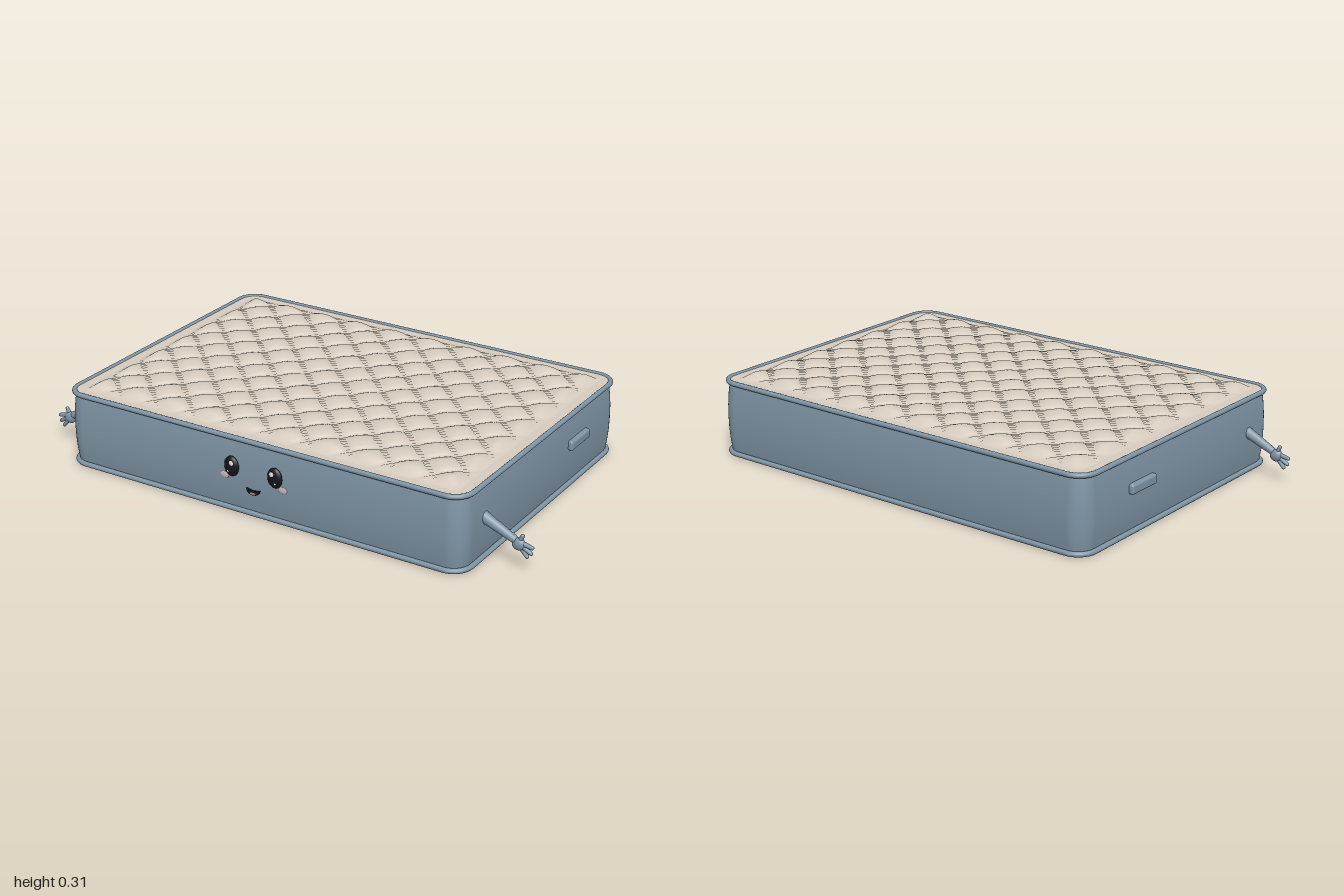
import * as THREE from 'three';
import { RoundedBoxGeometry } from 'three/addons/geometries/RoundedBoxGeometry.js';

const mat = (name, color, side = THREE.FrontSide) => {
  const m = new THREE.MeshStandardMaterial({ color, side });
  m.name = name;
  return m;
};

// Rounded rectangle in the xz plane: points with their outward directions
function perimeter(hx, hz, r, steps = 8) {
  const pts = [];
  [[1, 1], [-1, 1], [-1, -1], [1, -1]].forEach(([sx, sz], q) => {
    for (let i = 0; i <= steps; i++) {
      const a = (q + i / steps) * Math.PI / 2, c = Math.cos(a), s = Math.sin(a);
      pts.push({ x: sx * (hx - r) + c * r, z: sz * (hz - r) + s * r, nx: c, nz: s });
    }
  });
  return pts;
}

function indexed(pos, idx) {
  const g = new THREE.BufferGeometry();
  g.setAttribute('position', new THREE.Float32BufferAttribute(pos, 3));
  g.setIndex(idx);
  g.computeVertexNormals();
  return g;
}

// Skin over rounded-rectangle rings given as [y, outset]
function loft(hx, hz, r, rings) {
  const pos = [], idx = [];
  let n = 0;
  rings.forEach(([y, o], k) => {
    const pts = perimeter(hx + o, hz + o, r + o);
    n = pts.length;
    pts.forEach((p) => pos.push(p.x, y, p.z));
    if (k === 0) return;
    for (let i = 0; i < n; i++) {
      const a = (k - 1) * n + i, b = (k - 1) * n + (i + 1) % n;
      idx.push(a, a + n, b, b, a + n, b + n);
    }
  });
  return indexed(pos, idx);
}

// Flat underside whose normals lean softly outward at the rim
function undersideGeometry(hx, hz, r, y) {
  const pos = [0, y, 0], nor = [0, -1, 0], idx = [];
  const pts = perimeter(hx, hz, r), n = pts.length, k = Math.SQRT1_2;
  pts.forEach((p, i) => {
    pos.push(p.x, y, p.z);
    nor.push(p.nx * k, -k, p.nz * k);
    idx.push(0, i + 1, (i + 1) % n + 1);
  });
  const g = indexed(pos, idx);
  g.setAttribute('normal', new THREE.Float32BufferAttribute(nor, 3));
  return g;
}

// Puffed diamonds between diagonal stitch lines, fading out at the border
function quiltGeometry() {
  const L = 0.163, cell = L / 12, nx = 114, nz = 80;
  const w = nx * cell, d = nz * cell;
  const g = new THREE.PlaneGeometry(w, d, nx, nz).rotateX(-Math.PI / 2);
  const p = g.attributes.position;
  for (let i = 0; i < p.count; i++) {
    const x = p.getX(i), z = p.getZ(i);
    const edge = Math.min(w / 2 - Math.abs(x), d / 2 - Math.abs(z));
    const fade = THREE.MathUtils.smoothstep(edge, 0, 0.05);
    const bump = Math.abs(Math.sin(Math.PI * (x + z) / L) * Math.sin(Math.PI * (x - z) / L));
    p.setY(i, 0.287 + fade * (0.005 + 0.019 * Math.sqrt(bump)));
  }
  g.computeVertexNormals();
  return g;
}

export function createModel() {
  const model = new THREE.Group();
  const blue = mat('blue grey fabric', 0x7f95a6);
  const cream = mat('cream quilt', 0xd6cdbf);
  const black = mat('black', 0x14161a);
  const white = mat('white', 0xf4f4f4);
  const blush = mat('blush', 0xc9b9ba);
  const tongueRed = mat('tongue pink', 0xb87f80);

  const add = (parent, name, geo, material, x = 0, y = 0, z = 0) => {
    const m = new THREE.Mesh(geo, material);
    m.name = name;
    m.position.set(x, y, z);
    parent.add(m);
    return m;
  };
  const ball = (parent, name, material, x, y, z, rx, ry, rz) =>
    add(parent, name, new THREE.SphereGeometry(1, 24, 16), material, x, y, z).scale.set(rx, ry, rz);

  // Mattress
  const mattress = new THREE.Group();
  mattress.name = 'mattress';
  mattress.position.set(-0.005, 0, -0.005);
  model.add(mattress);
  const HX = 0.823, HZ = 0.588, R = 0.07;
  add(mattress, 'sideWall', loft(HX, HZ, R, [
    [0.006, -0.012], [0.03, -0.008], [0.06, -0.004], [0.1, -0.001], [0.145, 0],
    [0.19, -0.001], [0.23, -0.004], [0.26, -0.008], [0.286, -0.012],
  ]), blue);
  add(mattress, 'underside', undersideGeometry(HX - 0.01, HZ - 0.01, R - 0.01, 0.006), blue);

  // Piping around the top and bottom edges
  const pipe = 0.0095;
  for (const [name, y] of [['bottomPiping', pipe], ['topPiping', 0.283]]) {
    const rings = [];
    for (let i = 0; i <= 12; i++) {
      const t = -Math.PI + i * Math.PI / 6;
      rings.push([y + pipe * Math.sin(t), pipe * Math.cos(t)]);
    }
    add(mattress, name, loft(HX - 0.004, HZ - 0.004, R, rings), blue);
  }

  // Quilted top
  const outline = perimeter(HX - 0.008, HZ - 0.008, R - 0.008).map((p) => new THREE.Vector2(p.x, p.z));
  add(mattress, 'topBorder', new THREE.ShapeGeometry(new THREE.Shape(outline)).rotateX(-Math.PI / 2), cream, 0, 0.2865, 0);
  add(mattress, 'quiltedTop', quiltGeometry(), cream);

  // Side handles
  for (const s of [1, -1])
    add(mattress, s > 0 ? 'leftHandle' : 'rightHandle',
      new RoundedBoxGeometry(0.034, 0.037, 0.145, 3, 0.009), blue, s * 0.823, 0.169, -0.257);

  // Face
  const face = new THREE.Group();
  face.name = 'face';
  face.position.set(0, 0, HZ);
  mattress.add(face);
  for (const s of [1, -1]) {
    ball(face, 'eye', black, s * 0.09, 0.174, 0, 0.03, 0.038, 0.015);
    ball(face, 'eyeHighlight', white, s * 0.09 - s * 0.006, 0.19, 0.0125, 0.009, 0.01, 0.003);
    ball(face, 'eyeGlint', white, s * 0.09 + s * 0.008, 0.157, 0.0125, 0.004, 0.004, 0.002);
    ball(face, 'cheek', blush, s * 0.121, 0.134, 0, 0.018, 0.012, 0.003);
  }
  const mouth = new THREE.Shape();
  mouth.moveTo(-0.028, 0.108);
  mouth.quadraticCurveTo(0, 0.098, 0.028, 0.108);
  mouth.bezierCurveTo(0.026, 0.078, -0.026, 0.078, -0.028, 0.108);
  add(face, 'mouth', new THREE.ExtrudeGeometry(mouth, { depth: 0.008, bevelEnabled: false, curveSegments: 12 }), black, 0, 0, -0.002);
  ball(face, 'tongue', tongueRed, 0, 0.092, 0.006, 0.012, 0.005, 0.002);

  // Arms with little hands
  for (const s of [1, -1]) {
    const arm = new THREE.Group();
    arm.name = s > 0 ? 'leftArm' : 'rightArm';
    arm.position.z = 0.428;
    model.add(arm);
    const limb = (name, x0, y0, r0, x1, y1, r1, z0 = 0, z1 = 0) => {
      const a = new THREE.Vector3(s * x0, y0, z0), b = new THREE.Vector3(s * x1, y1, z1);
      const dir = b.clone().sub(a);
      const m = add(arm, name, new THREE.CylinderGeometry(r1, r0, dir.length(), 14), blue);
      m.position.copy(a).add(b).multiplyScalar(0.5);
      m.quaternion.setFromUnitVectors(new THREE.Vector3(0, 1, 0), dir.normalize());
      ball(arm, name + 'Tip', blue, b.x, b.y, b.z, r1, r1, r1);
    };
    limb('forearm', 0.79, 0.17, 0.022, 0.925, 0.108, 0.014);
    ball(arm, 'palm', blue, s * 0.944, 0.094, 0, 0.025, 0.023, 0.016);
    limb('thumb', 0.945, 0.1, 0.009, 0.957, 0.127, 0.007);
    limb('finger', 0.955, 0.1, 0.009, 0.993, 0.092, 0.007);
    limb('finger', 0.955, 0.09, 0.009, 0.99, 0.07, 0.007);
    limb('finger', 0.95, 0.085, 0.009, 0.976, 0.055, 0.007);
  }

  return model;
}
